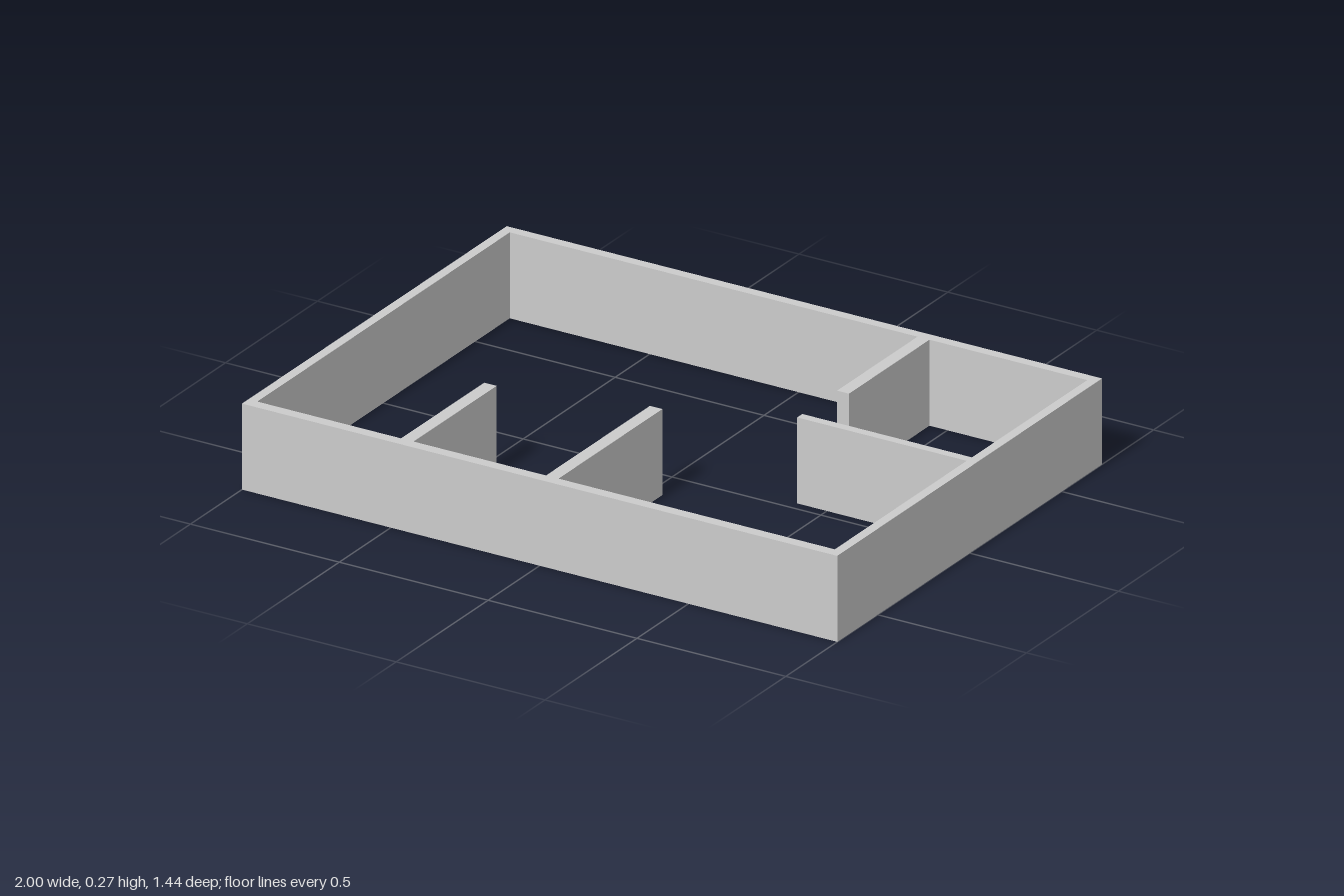
import * as THREE from 'three';

const HEIGHT = 0.27;
const OUTER = { x0: -1, x1: 1, z0: -0.72, z1: 0.72 };
const INNER = { x0: -0.97, x1: 0.97, z0: -0.688, z1: 0.685 };

// Rectangle on the floor plan; plan y is -z so the extrusion can be tipped upright
function trace(path, { x0, x1, z0, z1 }) {
  path.moveTo(x0, -z1);
  path.lineTo(x1, -z1);
  path.lineTo(x1, -z0);
  path.lineTo(x0, -z0);
  path.closePath();
  return path;
}

export function createModel() {
  const model = new THREE.Group();
  model.name = 'floorPlanWalls';
  const material = new THREE.MeshStandardMaterial({ color: 0xcccccc });

  // Outer walls: one ring, open above and below
  const ring = trace(new THREE.Shape(), OUTER);
  ring.holes.push(trace(new THREE.Path(), INNER));
  const ringGeometry = new THREE.ExtrudeGeometry(ring, { depth: HEIGHT, bevelEnabled: false });
  ringGeometry.rotateX(-Math.PI / 2);
  const outerWalls = new THREE.Mesh(ringGeometry, material);
  outerWalls.name = 'outerWalls';
  model.add(outerWalls);

  // Partitions, each butting against an outer wall: x0, x1, z0, z1
  const partitions = {
    frontRightPartition: [-0.487, -0.445, 0.233, INNER.z1],
    frontMiddlePartition: [0, 0.042, 0.12, INNER.z1],
    backPartition: [0.4, 0.44, INNER.z0, -0.25],
    leftPartition: [0.4, INNER.x1, -0.061, -0.033],
  };
  for (const [name, [x0, x1, z0, z1]] of Object.entries(partitions)) {
    const wall = new THREE.Mesh(new THREE.BoxGeometry(x1 - x0, HEIGHT, z1 - z0), material);
    wall.position.set((x0 + x1) / 2, HEIGHT / 2, (z0 + z1) / 2);
    wall.name = name;
    model.add(wall);
  }
  return model;
}
